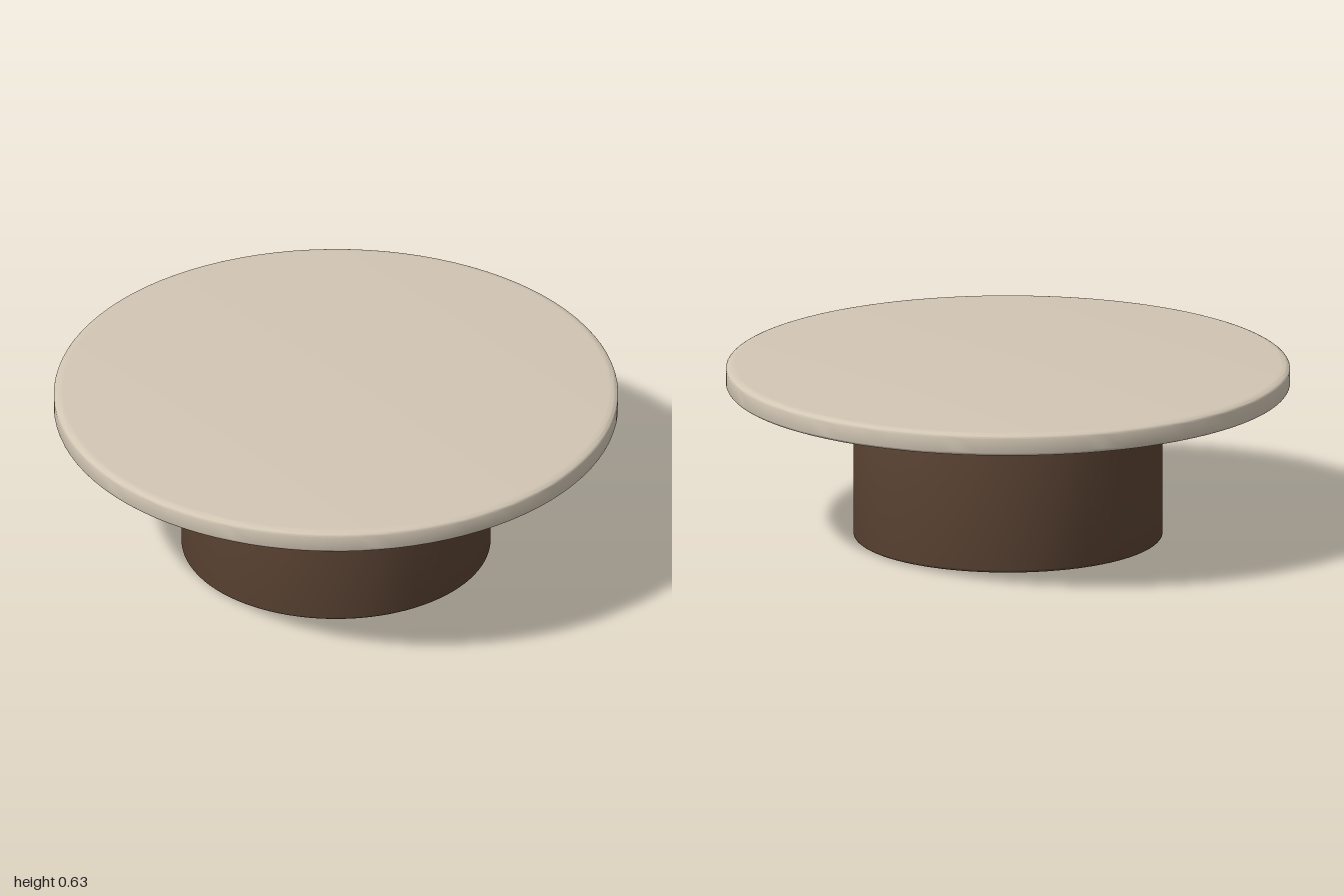
import * as THREE from 'three';
import { toCreasedNormals } from 'three/addons/utils/BufferGeometryUtils.js';

const SEGMENTS = 96;

function addPart(group, name, geometry, color) {
  const mesh = new THREE.Mesh(geometry, new THREE.MeshStandardMaterial({ color }));
  mesh.name = name;
  group.add(mesh);
  return mesh;
}

// Solid disc with rounded rims: radius, bottom y, top y, and [width, height] of each rim rounding
function roundedDisc(radius, y0, y1, [bw, bh], [tw, th], steps = 6) {
  const points = [new THREE.Vector2(0, y0)];
  for (let i = 0; i <= steps; i++) {
    const a = (i / steps) * Math.PI / 2;
    points.push(new THREE.Vector2(radius - bw + bw * Math.sin(a), y0 + bh - bh * Math.cos(a)));
  }
  for (let i = 0; i <= steps; i++) {
    const a = (i / steps) * Math.PI / 2;
    points.push(new THREE.Vector2(radius - tw + tw * Math.cos(a), y1 - th + th * Math.sin(a)));
  }
  points.push(new THREE.Vector2(0, y1));
  return toCreasedNormals(new THREE.LatheGeometry(points, SEGMENTS), 0.6);
}

export function createModel() {
  const table = new THREE.Group();
  table.name = 'roundCoffeeTable';

  // Wide round top, floating just above the drum
  addPart(table, 'tableTop', roundedDisc(1, 0.55, 0.63, [0.015, 0.015], [0.032, 0.016]), 0xd2c6b4);

  // Drum base
  addPart(table, 'drumBase', roundedDisc(0.548, 0.005, 0.52, [0.02, 0.012], [0.012, 0.012]), 0x5c4434);

  // Thin dark band near the upper rim of the drum
  const band = addPart(table, 'darkBand', new THREE.TorusGeometry(0.547, 0.006, 8, SEGMENTS), 0x1c1612);
  band.rotation.x = Math.PI / 2;
  band.position.y = 0.492;

  // Black pad under the drum
  const pad = addPart(table, 'floorPad', new THREE.CylinderGeometry(0.505, 0.505, 0.02, SEGMENTS), 0x141414);
  pad.position.y = 0.01;

  return table;
}
